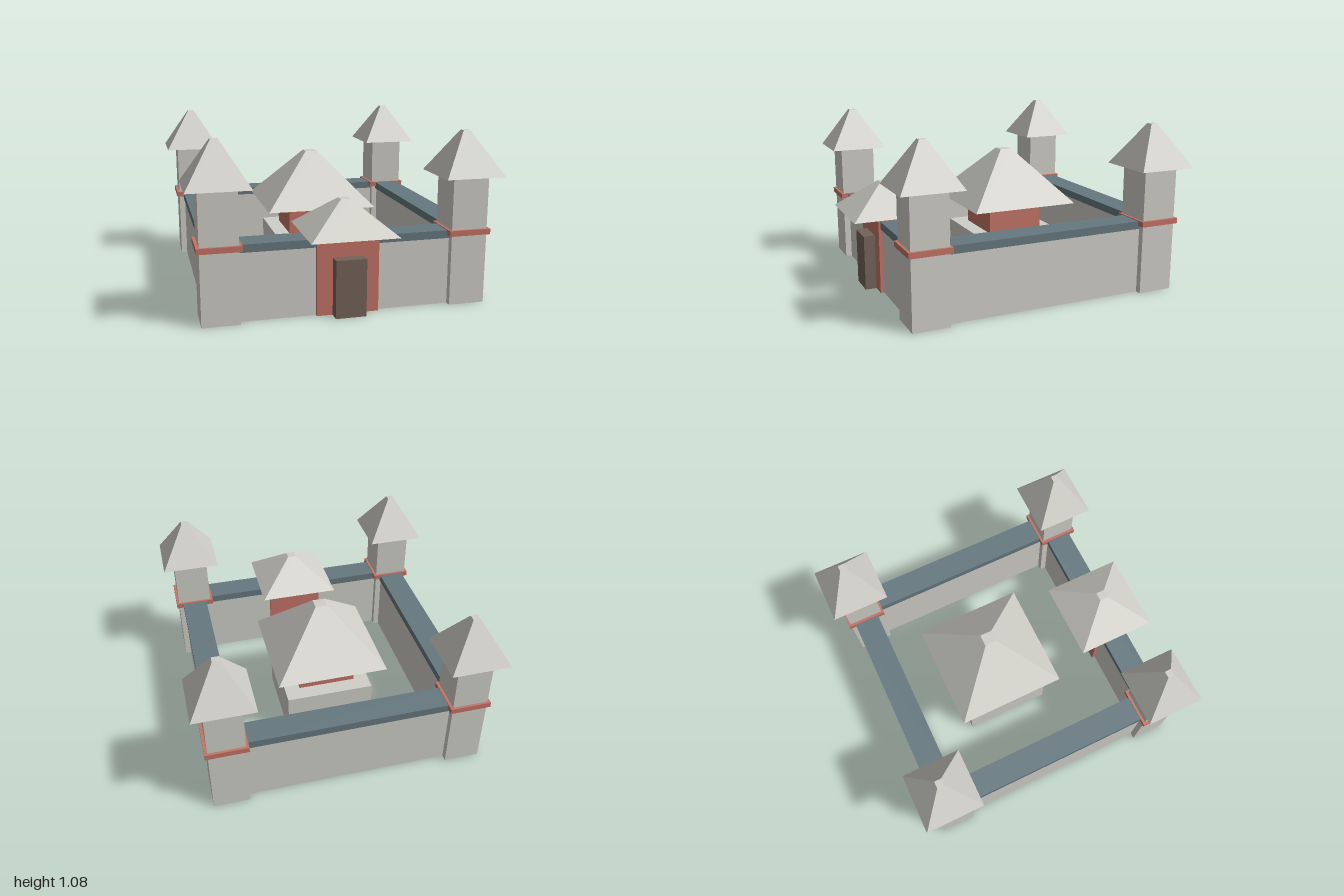
import * as THREE from 'three';

const mat = (name, color) => {
  const m = new THREE.MeshStandardMaterial({ color, flatShading: true });
  m.name = name;
  return m;
};

export function createModel() {
  const stone = mat('pale stone', 0xd0cfc8);
  const brick = mat('red brick', 0xc47466);
  const slate = mat('slate', 0x667980);
  const wood = mat('brown wood', 0x74645a);

  const model = new THREE.Group();
  model.name = 'fortress';

  const add = (parent, name, geometry, material, x, y, z) => {
    const mesh = new THREE.Mesh(geometry, material);
    mesh.name = name;
    mesh.position.set(x, y, z);
    parent.add(mesh);
  };
  // Box standing between heights y0 and y1
  const block = (parent, name, material, w, d, y0, y1, x, z) =>
    add(parent, name, new THREE.BoxGeometry(w, y1 - y0, d), material, x, (y0 + y1) / 2, z);
  // Square roof with a small flat top
  const roof = (parent, name, half, topHalf, y0, y1, x, z) => {
    const geo = new THREE.CylinderGeometry(topHalf * Math.SQRT2, half * Math.SQRT2, y1 - y0, 4)
      .rotateY(Math.PI / 4);
    add(parent, name, geo, stone, x, (y0 + y1) / 2, z);
  };
  const group = (name) => {
    const g = new THREE.Group();
    g.name = name;
    model.add(g);
    return g;
  };

  const side = 0.768, front = 0.73, back = -0.808;
  const midZ = (front + back) / 2, lengthZ = front - back;

  // Corner towers with collars and roofs
  for (const x of [-side, side]) {
    for (const z of [front, back]) {
      const tower = group('cornerTower');
      block(tower, 'towerShaft', stone, 0.23, 0.234, 0, 0.81, x, z);
      block(tower, 'towerCollar', brick, 0.266, 0.266, 0.445, 0.48, x, z);
      roof(tower, 'towerRoof', 0.19, 0.022, 0.81, 1.08, x, z);
    }
  }

  // Curtain walls with slate caps
  const walls = group('walls');
  for (const z of [front, back]) {
    block(walls, 'wall', stone, 2 * side - 0.2, 0.15, 0, 0.425, 0, z);
    block(walls, 'wallCap', slate, 2 * side - 0.2, 0.17, 0.425, 0.475, 0, z);
  }
  for (const x of [-side, side]) {
    block(walls, 'wall', stone, 0.15, lengthZ - 0.2, 0, 0.425, x, midZ);
    block(walls, 'wallCap', slate, 0.17, lengthZ - 0.2, 0.425, 0.475, x, midZ);
  }

  // Gatehouse in the front wall
  const gate = group('gatehouse');
  block(gate, 'gateBody', brick, 0.386, 0.195, 0, 0.5, 0, front);
  block(gate, 'gateDoor', wood, 0.19, 0.08, 0, 0.36, 0, 0.86);
  roof(gate, 'gateRoof', 0.268, 0.03, 0.5, 0.695, 0, front);

  // Keep in the courtyard
  const keep = group('keep');
  block(keep, 'keepBase', stone, 0.58, 0.58, 0, 0.305, 0, -0.136);
  block(keep, 'keepUpperStorey', brick, 0.38, 0.38, 0.305, 0.5, 0, -0.136);
  roof(keep, 'keepRoof', 0.363, 0.04, 0.5, 0.85, 0, -0.136);

  return model;
}
